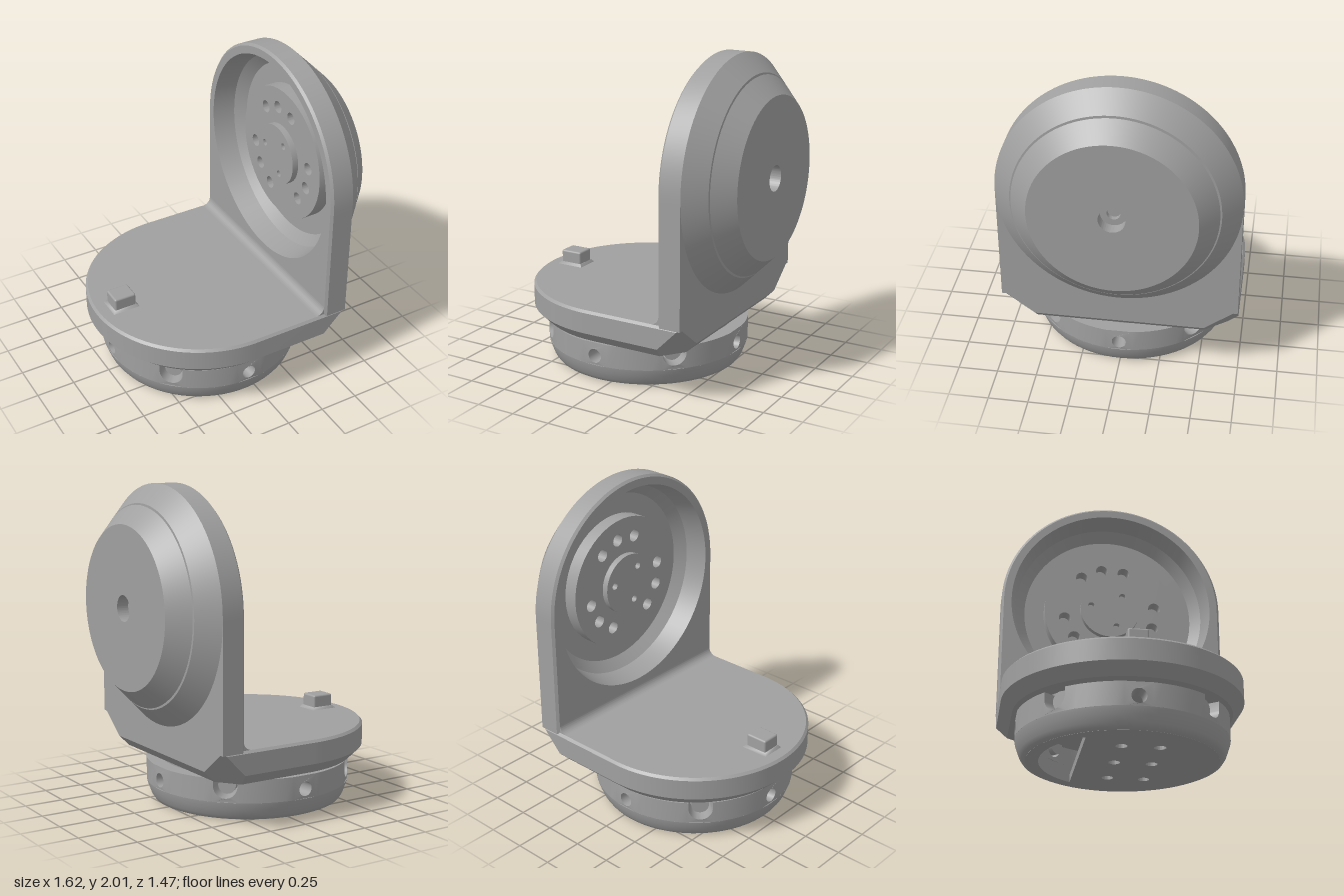
import * as THREE from 'three';
import { mergeGeometries, toCreasedNormals } from 'three/addons/utils/BufferGeometryUtils.js';
import { ConvexGeometry } from 'three/addons/geometries/ConvexGeometry.js';
import { RoundedBoxGeometry } from 'three/addons/geometries/RoundedBoxGeometry.js';

const CX = -0.075;  // turntable axis
const R = 0.735;    // bracket radius
const HUB_Y = 1.27; // height of the upper joint axis

export function createModel() {
  const model = new THREE.Group();
  const grey = new THREE.MeshStandardMaterial({ color: 0xa0a0a0 });
  grey.name = 'machined grey';

  const add = (name, geometry, x = 0, y = 0, z = 0) => {
    const mesh = new THREE.Mesh(geometry, grey);
    mesh.name = name;
    mesh.position.set(x, y, z);
    model.add(mesh);
    return mesh;
  };
  const circle = (x, y, r) => new THREE.Path().absarc(x, y, r, 0, Math.PI * 2, true);
  const disc = (r) => new THREE.Shape().absarc(0, 0, r, 0, Math.PI * 2, false);
  const extrude = (shape, depth, curveSegments = 24) =>
    new THREE.ExtrudeGeometry(shape, { depth, curveSegments, bevelEnabled: false });

  // Platform: half round at one end, chamfered below, with cut lower corners
  const pts = [];
  const level = (y, r, corners) => {
    for (let i = 0; i <= 64; i++) {
      const a = Math.PI / 2 + (i / 64) * Math.PI;
      pts.push(new THREE.Vector3(CX + r * Math.cos(a), y, r * Math.sin(a)));
    }
    for (const s of [-1, 1]) for (const [x, z] of corners) pts.push(new THREE.Vector3(x, y, s * z));
  };
  level(0.285, R - 0.07, [[0.398, 0.665], [0.5, 0.53]]);
  level(0.355, R, [[0.418, R], [0.57, 0.53]]);
  level(0.485, R, [[0.545, R], [0.57, 0.7]]);
  level(0.5, R - 0.015, [[0.57, 0.72]]);
  add('platform', toCreasedNormals(new ConvexGeometry(pts), 0.4));

  // Upright wall, hollow inside, with the stepped cone outside: rings joined in order
  const LOW = 0.49;
  const corner = Math.PI - Math.atan(R / (HUB_Y - LOW));
  const angles = [corner, 2 * Math.PI - corner];
  for (let i = 0; i < 128; i++) angles.push((i / 128) * Math.PI * 2);
  angles.sort((a, b) => a - b);
  const round = (r) => () => r;
  const arched = (r) => (a) => (Math.cos(a) >= 0 ? r
    : Math.min(r / Math.max(Math.abs(Math.sin(a)), 1e-6), (HUB_Y - LOW) / -Math.cos(a)));
  const rings = [
    [0.62, round(0.001)], [0.62, round(0.57)], [0.56, round(0.635)], [0.42, round(0.67)],
    [0.42, arched(R - 0.015)], [0.435, arched(R)], [0.57, arched(R)], [0.57, round(R)],
    [0.686, round(0.62)], [0.687, round(0.605)], [0.695, round(0.597)], [0.696, round(0.61)],
    [0.805, round(0.5)], [0.805, round(0.08)], [0.73, round(0.08)], [0.73, round(0.04)],
    [0.7, round(0.04)], [0.7, round(0.001)],
  ];
  const pos = [], index = [], n = angles.length;
  rings.forEach(([x, rad], j) => angles.forEach((a, i) => {
    pos.push(x, HUB_Y + rad(a) * Math.cos(a), rad(a) * Math.sin(a));
    if (j === rings.length - 1) return;
    const p = j * n + i, q = j * n + (i + 1) % n;
    index.push(p, q, p + n, q, q + n, p + n);
  }));
  const wall = new THREE.BufferGeometry();
  wall.setAttribute('position', new THREE.Float32BufferAttribute(pos, 3));
  wall.setIndex(index);
  add('uprightWall', toCreasedNormals(wall.toNonIndexed(), 0.4));

  // Fillet between the platform and the wall
  const fillet = new THREE.Shape().moveTo(0.365, 0.495).lineTo(0.425, 0.495).lineTo(0.425, 0.555)
    .lineTo(0.42, 0.555).absarc(0.365, 0.555, 0.055, 0, -Math.PI / 2, true);
  add('cornerFillet', toCreasedNormals(extrude(fillet, 1.44, 8), 0.4), 0, 0, -0.72);

  // Flange and boss with bolt holes inside the hollow wall
  const flange = disc(0.44);
  for (const mid of [100, 220, 340]) for (const d of [-28, 0, 28]) {
    const a = THREE.MathUtils.degToRad(mid + d);
    flange.holes.push(circle(0.31 * Math.cos(a), 0.31 * Math.sin(a), 0.04));
  }
  const boss = disc(0.2);
  for (const deg of [50, 170, 290]) {
    const a = THREE.MathUtils.degToRad(deg);
    boss.holes.push(circle(0.13 * Math.cos(a), 0.13 * Math.sin(a), 0.022));
  }
  const sideways = (shape, depth) => toCreasedNormals(extrude(shape, depth).rotateY(-Math.PI / 2), 0.4);
  add('jointFlange', sideways(flange, 0.09), 0.62, HUB_Y, 0);
  add('jointBoss', sideways(boss, 0.04), 0.53, HUB_Y, 0);

  // Stop block on the platform
  add('stopBlock', new RoundedBoxGeometry(0.145, 0.12, 0.125, 3, 0.012), -0.635, 0.535, 0);
  const flare = new THREE.CylinderGeometry(0.1, 0.122, 0.018, 4).rotateY(Math.PI / 4).scale(1.05, 1, 0.9);
  flare.computeVertexNormals();
  add('stopBlockFoot', flare, -0.635, 0.508, 0);

  // Neck between the platform and the base
  add('neck', new THREE.CylinderGeometry(0.555, 0.555, 0.06, 64), CX, 0.26, 0);

  // Base: rounded lower rim
  const rim = [[0.575, 0], [0.6, 0.01], [0.617, 0.035], [0.632, 0.075], [0.642, 0.105], [0.645, 0.12],
    [0.535, 0.12], [0.535, 0.02]].map(([x, y]) => new THREE.Vector2(x, y));
  add('baseRim', toCreasedNormals(new THREE.LatheGeometry(rim, 72).toNonIndexed(), 0.6), CX, 0, 0);

  // Base: side ring of bent panels, with round holes and open notches in turn
  const BR = 0.645, T = 0.11, Y0 = 0.12, Y1 = 0.265, STEP = Math.PI / 12;
  const bend = (shape, mid) => {
    const g = extrude(shape, T, 12), p = g.attributes.position;
    for (let i = 0; i < p.count; i++) {
      const a = mid + p.getX(i) / BR;
      const r = BR - T + p.getZ(i);
      p.setXYZ(i, r * Math.sin(a), p.getY(i), r * Math.cos(a));
    }
    return g;
  };
  const plate = (w) => new THREE.Shape().moveTo(-w, Y0).lineTo(w, Y0).lineTo(w, Y1).lineTo(-w, Y1).closePath();
  const panels = [];
  const half = BR * STEP / 2;
  for (let i = 0; i < 24; i++) {
    if (i % 6 === 0) {
      const s = plate(half);
      s.holes.push(circle(0, 0.18, 0.045));
      panels.push(bend(s, i * STEP));
    } else if (i % 6 === 3) {
      const h = 0.075;
      const s = new THREE.Shape().moveTo(-half, Y0).lineTo(half, Y0).lineTo(half, Y1).lineTo(h, Y1)
        .lineTo(h, 0.22).absarc(0, 0.22, h, 0, -Math.PI, true).lineTo(-h, Y1).lineTo(-half, Y1).closePath();
      panels.push(bend(s, i * STEP));
    } else {
      for (const k of [-1, 0, 1]) panels.push(bend(plate(half / 3), (i + k / 3) * STEP));
    }
  }
  add('baseRing', toCreasedNormals(mergeGeometries(panels), 0.4), CX, 0, 0);

  // Clamp screws set in the notches
  for (let i = 0; i < 4; i++) {
    const a = Math.PI / 4 + i * Math.PI / 2;
    const screw = new THREE.CylinderGeometry(0.055, 0.055, 0.08, 20).rotateX(Math.PI / 2).rotateY(a);
    add('clampScrew', screw, CX + 0.55 * Math.sin(a), 0.215, 0.55 * Math.cos(a));
  }

  // Bottom plate with six screw holes and a segment-shaped cable opening
  const bottom = disc(0.577);
  for (const x of [-0.3, 0, 0.3]) for (const z of [-0.05, 0.175]) bottom.holes.push(circle(x, z, 0.035));
  bottom.holes.push(new THREE.Path().absarc(0, 0, 0.5, Math.PI + 0.571, 2 * Math.PI - 0.571, false).closePath());
  add('bottomPlate', toCreasedNormals(extrude(bottom, 0.05, 36).rotateX(Math.PI / 2), 0.4), CX, 0.05, 0);

  return model;
}
